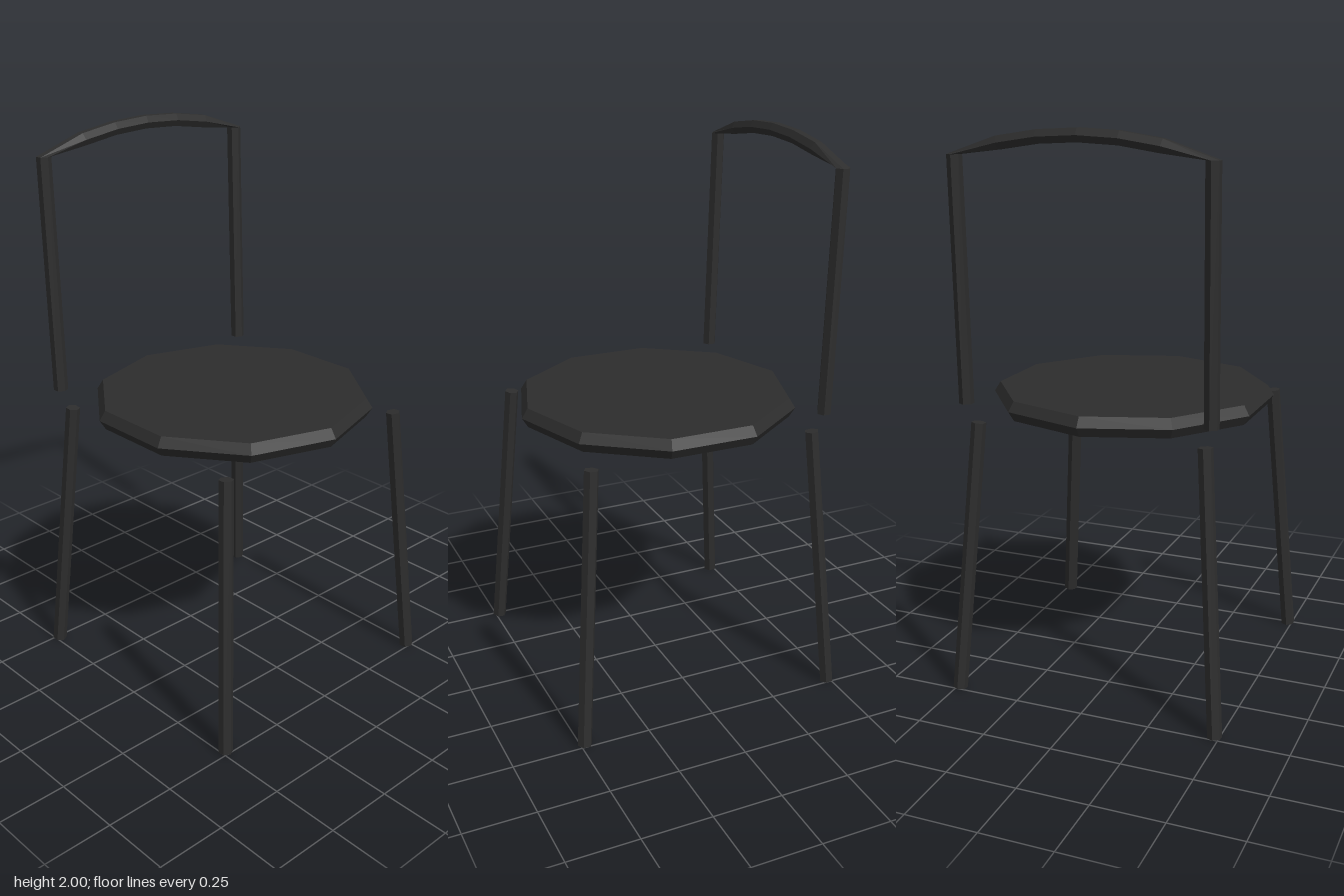
import * as THREE from 'three';

const R = 0.026; // bar radius

// Hexagonal sweep in a plane of constant z-y direction; each stop is a centre and its outward direction
function hexSweep(stops) {
  const rings = stops.map(({ c, n }) => Array.from({ length: 6 }, (_, k) => {
    const a = (k * Math.PI) / 3;
    return new THREE.Vector3(Math.cos(a) * R, 0, 0).addScaledVector(n, Math.sin(a) * R).add(c);
  }));
  const pts = [];
  for (let i = 0; i < rings.length - 1; i++) {
    for (let k = 0; k < 6; k++) {
      const j = (k + 1) % 6, p = rings[i], q = rings[i + 1];
      pts.push(p[k], q[k], p[j], p[j], q[k], q[j]);
    }
  }
  const first = rings[0], last = rings[rings.length - 1];
  for (let k = 1; k < 5; k++) pts.push(first[0], first[k], first[k + 1], last[0], last[k + 1], last[k]);
  const geo = new THREE.BufferGeometry().setFromPoints(pts);
  geo.computeVertexNormals();
  return geo;
}

export function createModel() {
  const model = new THREE.Group();
  model.name = 'chair';
  const black = new THREE.MeshStandardMaterial({ color: 0x2d2d2d, flatShading: true });
  black.name = 'charcoal';

  const add = (geo, name) => {
    const mesh = new THREE.Mesh(geo, black);
    mesh.name = name;
    model.add(mesh);
    return mesh;
  };

  // Ten-sided seat with a pointed rim
  const profile = [[0, 1.005], [0.488, 1.005], [0.51, 1.04], [0.488, 1.075], [0, 1.075]];
  const seat = new THREE.LatheGeometry(profile.map(([r, y]) => new THREE.Vector2(r, y)), 10);
  seat.rotateY(Math.PI / 2);
  add(seat, 'seat');

  // Four splayed hexagonal legs
  const up = new THREE.Vector3(0, 1, 0);
  for (const sx of [-1, 1]) {
    for (const sz of [-1, 1]) {
      const top = new THREE.Vector3(sx * 0.414, 0.993, sz * 0.414);
      const foot = new THREE.Vector3(sx * 0.486, 0.002, sz * 0.486);
      const dir = top.clone().sub(foot);
      const geo = new THREE.CylinderGeometry(R, R, dir.length(), 6);
      geo.rotateY(Math.PI / 6);
      const leg = add(geo, (sz > 0 ? 'front' : 'back') + (sx > 0 ? 'Left' : 'Right') + 'Leg');
      leg.position.copy(top).add(foot).multiplyScalar(0.5);
      leg.quaternion.setFromUnitVectors(up, dir.normalize());
    }
  }

  // Backrest: two posts joined by a shallow arched rail
  const stop = (x, y, z, ny, nz) => ({
    c: new THREE.Vector3(x, y, z), n: new THREE.Vector3(0, ny, nz).normalize(),
  });
  const arch = [0.28, 0.14, 0, -0.14, -0.28].map(
    (z) => stop(-0.466, 1.9775 - 0.36 * z * z, z, 1, 0.72 * z));
  add(hexSweep([
    stop(-0.442, 1.066, 0.443, 0, 1), stop(-0.466, 1.91, 0.443, 0, 1),
    ...arch,
    stop(-0.466, 1.91, -0.443, 0, -1), stop(-0.442, 1.066, -0.443, 0, -1),
  ]), 'backrest');

  return model;
}
